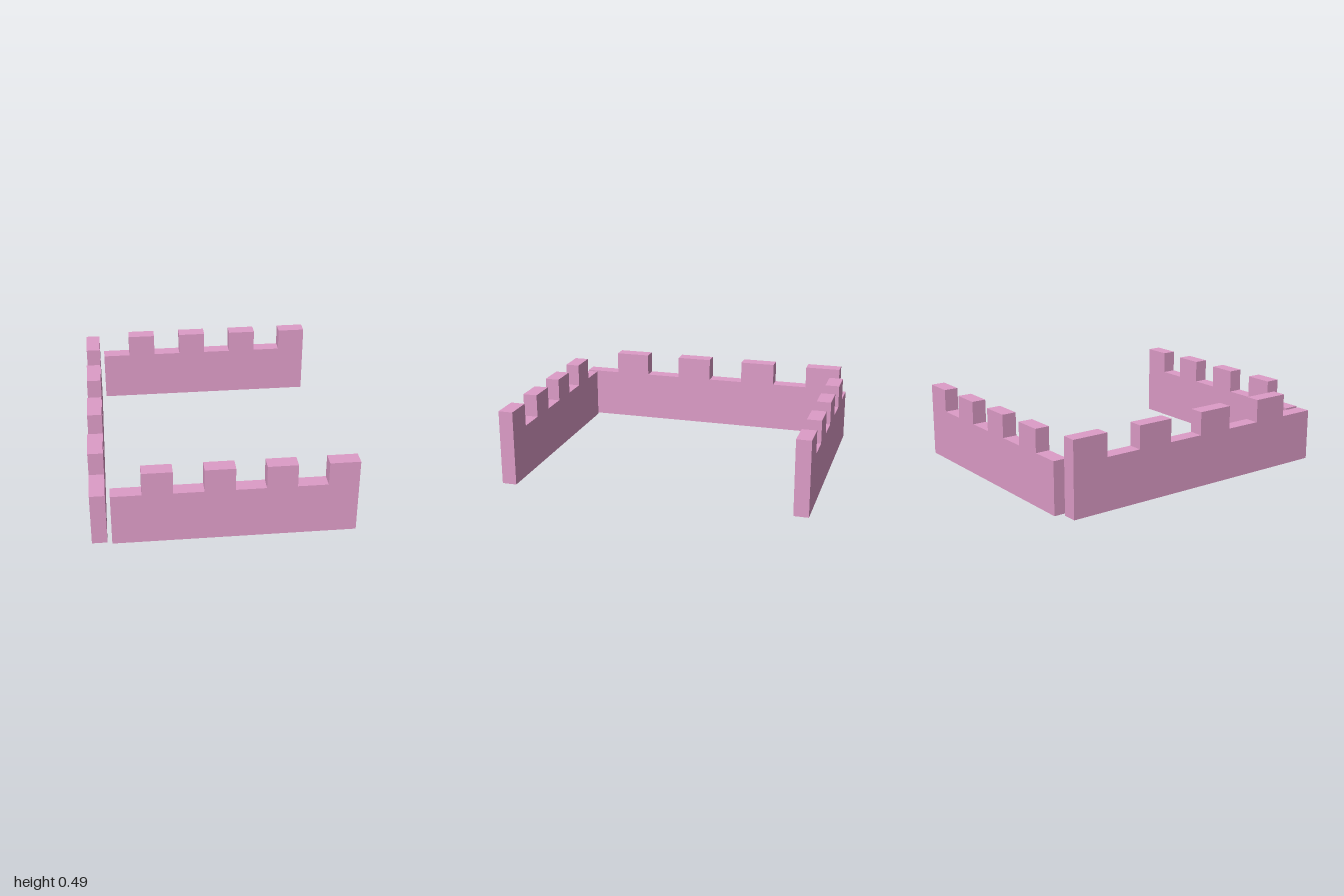
import * as THREE from 'three';

const LOW = 0.34, HIGH = 0.49, THICK = 0.095, STEPS = 8;

// Battlement wall along +x: equal steps alternating gap and merlon
function makeWall(name, length, material) {
  const shape = new THREE.Shape();
  const step = length / STEPS;
  shape.moveTo(0, 0);
  shape.lineTo(length, 0);
  for (let i = STEPS - 1; i >= 0; i--) {
    const top = i % 2 ? HIGH : LOW;
    shape.lineTo((i + 1) * step, top);
    shape.lineTo(i * step, top);
  }
  shape.closePath();
  const geometry = new THREE.ExtrudeGeometry(shape, { depth: THICK, bevelEnabled: false });
  const wall = new THREE.Mesh(geometry, material);
  wall.name = name;
  return wall;
}

export function createModel() {
  const group = new THREE.Group();
  group.name = 'battlementWalls';
  const material = new THREE.MeshStandardMaterial({ color: 0xdd9cc7 });

  // Matching front and back walls
  for (const [name, z] of [['frontWall', 1 - THICK], ['backWall', -1]]) {
    const wall = makeWall(name, 1.511, material);
    wall.position.set(-0.694, 0, z);
    group.add(wall);
  }

  // Longer side wall, running from front to back
  const side = makeWall('sideWall', 1.93, material);
  side.rotation.y = Math.PI / 2;
  side.position.set(-0.818, 0, 0.985);
  group.add(side);

  return group;
}
